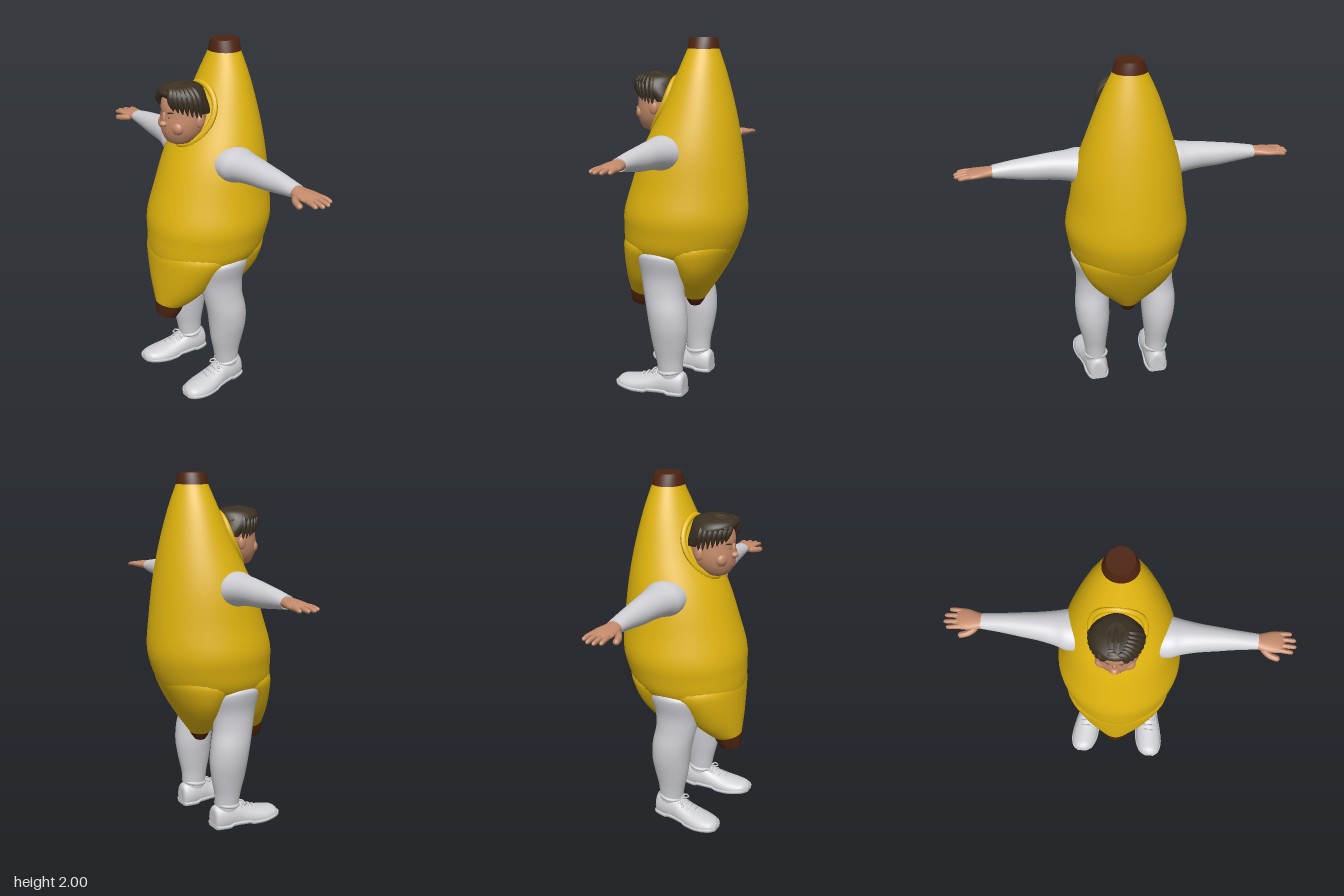
import * as THREE from 'three';

const V = (x, y, z) => new THREE.Vector3(x, y, z);
const paint = (name, color) => {
  const m = new THREE.MeshStandardMaterial({ color });
  m.name = name;
  return m;
};

// Smooth interpolation between rows of section numbers.
function smoothRows(rows, sub) {
  const out = [], last = rows.length - 1;
  const cr = (a, b, c, d, t) =>
    0.5 * (2 * b + (c - a) * t + (2 * a - 5 * b + 4 * c - d) * t * t + (3 * b - a - 3 * c + d) * t * t * t);
  for (let i = 0; i < last; i++) for (let s = 0; s < sub; s++) {
    const [a, b, c, d] = [rows[Math.max(i - 1, 0)], rows[i], rows[i + 1], rows[Math.min(i + 2, last)]];
    out.push(b.map((_, k) => cr(a[k], b[k], c[k], d[k], s / sub)));
  }
  out.push(rows[last]);
  return out;
}

// Closed loft along an axis. Row: [position, centre, half width, low, high, widest point].
function loft(axis, rows, bend = (v) => v, n = 32, sub = 4) {
  const place = {
    x: (t, u, w) => V(t, u, w), // width = y, low/high = z
    y: (t, u, w) => V(u, t, w), // width = x, low/high = z
    z: (t, u, w) => V(u, w, t), // width = x, low/high = y
  }[axis];
  const rings = smoothRows(rows.map((r) => (r.length > 5 ? r : [...r, (r[3] + r[4]) / 2])), sub).map(
    ([t, c, r, lo, hi, mid]) => Array.from({ length: n }, (_, i) => {
      const a = (i / n) * Math.PI * 2, s = Math.sin(a);
      return bend(place(t, c + r * Math.cos(a), mid + s * (s > 0 ? hi - mid : mid - lo)));
    }));
  const pts = rings.flat(), idx = [];
  for (let j = 0; j < rings.length - 1; j++) for (let i = 0; i < n; i++) {
    const a = j * n + i, b = j * n + ((i + 1) % n);
    idx.push(a, b, a + n, b, b + n, a + n);
  }
  [rings[0], rings[rings.length - 1]].forEach((ring, end) => {
    const base = pts.length;
    const mid = ring.reduce((s, p) => s.add(p), V(0, 0, 0)).divideScalar(n);
    pts.push(mid, ...ring.map((p) => p.clone()));
    for (let i = 0; i < n; i++) {
      const a = base + 1 + i, b = base + 1 + ((i + 1) % n);
      idx.push(base, ...(end ? [a, b] : [b, a]));
    }
  });
  // Turn the surface outward when its signed volume is negative.
  let vol = 0;
  for (let i = 0; i < idx.length; i += 3)
    vol += pts[idx[i]].dot(V(0, 0, 0).crossVectors(pts[idx[i + 1]], pts[idx[i + 2]]));
  if (vol < 0) idx.reverse();
  const g = new THREE.BufferGeometry().setFromPoints(pts);
  g.setIndex(idx);
  g.computeVertexNormals();
  return g;
}

// Tube whose thickness follows a profile; used for fingers, hair and laces.
function strand(points, radius, profile = () => 1, closed = false) {
  const curve = new THREE.CatmullRomCurve3(points, closed);
  const seg = closed ? 64 : 14, g = new THREE.TubeGeometry(curve, seg, radius, 10, closed);
  const p = g.attributes.position, v = V(0, 0, 0);
  for (let i = 0; i < p.count; i++) {
    const t = Math.floor(i / 11) / seg, c = curve.getPointAt(t);
    v.fromBufferAttribute(p, i).sub(c).multiplyScalar(profile(t)).add(c);
    p.setXYZ(i, v.x, v.y, v.z);
  }
  g.computeVertexNormals();
  return g;
}
const roundEnds = (t) => Math.sqrt(Math.max(0, 1 - Math.pow(Math.abs(2 * t - 1), 8)));
const ball = (x, y, z, a, b, c) => new THREE.SphereGeometry(1, 20, 14).scale(a, b, c).translate(x, y, z);

function mirrored(geo) {
  const g = geo.clone().scale(-1, 1, 1), ix = g.index.array;
  for (let i = 0; i < ix.length; i += 3) [ix[i], ix[i + 1]] = [ix[i + 1], ix[i]];
  return g;
}

export function createModel() {
  const model = new THREE.Group();
  model.name = 'bananaCostumeFigure';
  const yellow = paint('bananaYellow', 0xe0b40e), brown = paint('tipBrown', 0x4e2410);
  const white = paint('suitWhite', 0xcfcfd4), skin = paint('skin', 0xc48a6a);
  const hair = paint('hairDark', 0x3a3022), lip = paint('lips', 0xa9644f);
  const add = (name, geo, mat) => {
    const m = new THREE.Mesh(geo, mat);
    m.name = name;
    model.add(m);
  };
  const pair = (name, geo, mat) => {
    add(name + 'Left', geo, mat);
    add(name + 'Right', mirrored(geo), mat);
  };

  // Costume body, stem and the two hanging flaps
  add('bananaBody', loft('y', [
    [1.94, 0, .09, -.19, -.02], [1.8, 0, .155, -.235, .04], [1.6, 0, .226, -.285, .13],
    [1.4, 0, .288, -.32, .232], [1.2, 0, .318, -.345, .305], [1.05, 0, .344, -.355, .35],
    [.95, 0, .333, -.338, .356], [.85, 0, .31, -.3, .355], [.78, 0, .25, -.25, .33],
    [.7, 0, .12, -.16, .22]], undefined, 48), yellow);
  add('stemTip', loft('y', [[1.94, 0, .092, -.192, -.018], [1.97, 0, .082, -.187, -.024],
    [2, 0, .07, -.18, -.03]]), brown);
  const slant = (v) => {
    v.y += (1 - THREE.MathUtils.smoothstep(v.y, .5, .7)) * .25 * (v.z - .3);
    return v;
  };
  add('frontFlap', loft('y', [[.9, 0, .27, .05, .34, .12], [.85, 0, .295, .05, .355, .12],
    [.75, 0, .25, .05, .357, .17], [.65, 0, .195, .08, .358, .2], [.57, 0, .125, .16, .357, .25],
    [.53, 0, .085, .2, .356, .28]], slant), yellow);
  add('frontFlapTip', loft('y', [[.53, 0, .087, .2, .358, .28], [.49, 0, .075, .22, .357, .29],
    [.45, 0, .055, .24, .355, .3]], slant), brown);
  add('backFlap', loft('y', [[.9, 0, .27, -.31, 0, -.1], [.85, 0, .29, -.3, .05, -.08],
    [.75, 0, .25, -.252, .05, -.1], [.65, 0, .185, -.195, .04, -.08], [.57, 0, .105, -.145, .02, -.06],
    [.53, 0, .06, -.118, -.01, -.06]]), yellow);
  add('backFlapTip', loft('y', [[.53, 0, .062, -.12, -.01, -.06], [.51, 0, .05, -.108, -.015, -.06],
    [.485, 0, .033, -.09, -.03, -.06]]), brown);

  // Rim of the face opening, following the costume surface
  const rim = Array.from({ length: 24 }, (_, i) => {
    const a = (i / 24) * Math.PI * 2, x = .138 * Math.cos(a), y = 1.63 + .155 * Math.sin(a);
    return V(x, y, .195 - .47 * (y - 1.47) - 2.4 * x * x);
  });
  add('faceOpeningRim', strand(rim, .016, undefined, true), yellow);

  // Head and face
  add('head', loft('y', [[1.488, 0, .045, .13, .235], [1.505, 0, .078, .1, .262],
    [1.55, 0, .108, .06, .283], [1.6, 0, .121, .04, .289], [1.65, 0, .122, .03, .285],
    [1.7, 0, .116, .03, .284], [1.75, 0, .098, .05, .262], [1.785, 0, .05, .1, .2]]), skin);
  add('nose', ball(0, 1.607, .287, .023, .018, .026), skin);
  add('noseBridge', ball(0, 1.635, .283, .012, .035, .013), skin);
  pair('cheek', ball(.06, 1.59, .245, .042, .038, .03), skin);
  pair('ear', ball(.121, 1.62, .14, .014, .035, .024), skin);
  add('mouth', ball(0, 1.562, .284, .032, .006, .006), lip);
  add('lowerLip', ball(0, 1.552, .283, .024, .006, .007), lip);
  pair('eye', strand([V(.026, 1.643, .28), V(.046, 1.647, .271), V(.068, 1.643, .253)], .0035, roundEnds), hair);
  pair('eyebrow', strand([V(.022, 1.667, .282), V(.05, 1.674, .27), V(.08, 1.666, .244)], .005, roundEnds), hair);

  // Hair: cap, parted fringe and swept strands
  add('hairCap', loft('y', [[1.655, 0, .122, .03, .17], [1.69, 0, .131, .04, .2], [1.725, 0, .135, .05, .25],
    [1.76, 0, .127, .055, .3], [1.79, 0, .098, .07, .29], [1.808, 0, .045, .12, .23]]), hair);
  for (const s of [-1, 1]) for (let k = 0; k < 7; k++) {
    const a = THREE.MathUtils.degToRad(28 + k * 11), x = s * Math.sin(a), z = Math.cos(a);
    const end = 1.685 - .008 * k;
    add('fringeLock', strand([V(.015, 1.782, .275 - k * .018), V(.015 + x * .065, 1.782, .17 + z * .115),
      V(x * .122, 1.735, .16 + z * .135), V(x * .128, end, .15 + z * .13)],
      .023, (t) => Math.sqrt(1 - t * t * .97) * (.6 + .4 * Math.sin(t * Math.PI))), hair);
  }
  for (let k = -3; k <= 3; k++)
    add('crownStrand', strand([V(k * .02, 1.775 - .002 * k * k, .292), V(k * .03, 1.799 - .004 * k * k, .2),
      V(k * .03, 1.775 - .004 * k * k, .08)], .017, roundEnds), hair);

  // Sleeves and hands
  pair('sleeve', loft('x', [[.2, 1.395, .092, -.1, .125], [.27, 1.397, .095, -.1, .125],
    [.33, 1.402, .082, -.085, .105], [.42, 1.405, .073, -.068, .085], [.52, 1.403, .064, -.058, .07],
    [.62, 1.404, .051, -.047, .056], [.725, 1.403, .034, -.04, .046]]), white);
  pair('palm', loft('x', [[.71, 1.403, .03, -.036, .042], [.75, 1.403, .026, -.045, .052],
    [.8, 1.402, .023, -.06, .058], [.84, 1.4, .019, -.062, .055], [.862, 1.399, .01, -.05, .045]]), skin);
  [[-.05, .905], [-.018, .928], [.015, .93], [.044, .912]].forEach(([z, tip], i) =>
    pair('finger' + (i + 1), strand([V(.82, 1.401, z * .9), V(.87, 1.4, z * 1.03), V(tip, 1.393, z * 1.08)],
      .0145, (t) => roundEnds(t) * (1 - .25 * t)), skin));
  pair('thumb', strand([V(.745, 1.395, .035), V(.79, 1.388, .07), V(.845, 1.38, .085)], .017, roundEnds), skin);

  // Trouser legs
  pair('leg', loft('y', [[.1, .188, .06, -.065, .075], [.2, .191, .066, -.07, .09],
    [.3, .195, .082, -.09, .112], [.4, .2, .098, -.102, .125], [.5, .202, .102, -.095, .14],
    [.6, .193, .099, -.077, .162], [.7, .19, .1, -.082, .18], [.79, .206, .105, -.1, .192],
    [.83, .22, .094, -.075, .17], [.855, .23, .06, -.02, .1]]), white);

  // Shoes with soles, heels and laces
  const flat = (v) => {
    v.y = Math.max(v.y, v.z > .2 ? (v.z - .2) * .12 : 0.004);
    return v;
  };
  const shoe = [[-.085, .185, .032, 0, .1], [-.075, .185, .052, -.03, .128], [-.02, .187, .066, -.03, .145],
    [.05, .192, .068, -.03, .138], [.1, .2, .072, -.03, .113], [.17, .208, .08, -.03, .09],
    [.24, .216, .079, -.025, .078], [.3, .222, .058, 0, .067], [.325, .225, .025, .015, .045]];
  pair('shoe', loft('z', shoe, flat), white);
  pair('sole', loft('z', shoe.map(([z, c, r]) => [z * 1.015, c, r + .006, -.02, .05]), (v) => {
    const lift = v.z > .2 ? (v.z - .2) * .12 : v.z > .01 && v.z < .12 ? .009 : 0;
    v.y = THREE.MathUtils.clamp(v.y, 0, .022) + lift;
    return v;
  }), white);
  pair('shoeCollar', new THREE.TorusGeometry(.064, .011, 8, 28).rotateX(Math.PI / 2 + .12)
    .translate(.188, .132, .008), white);
  for (let k = 0; k < 4; k++) {
    const z = .075 + k * .03, y = .13 - k * .012, c = .197 + k * .004;
    pair('lace' + (k + 1), strand([V(c - .045, y - .022, z), V(c, y + .001, z + .008), V(c + .045, y - .022, z)],
      .006, roundEnds), white);
  }
  for (const s of [-1, 1])
    pair('laceLoop', strand([V(.196, .137, .075), V(.196 + s * .03, .142, .092), V(.196 + s * .045, .118, .1),
      V(.196 + s * .015, .126, .09)], .0045, undefined, true), white);

  return model;
}
